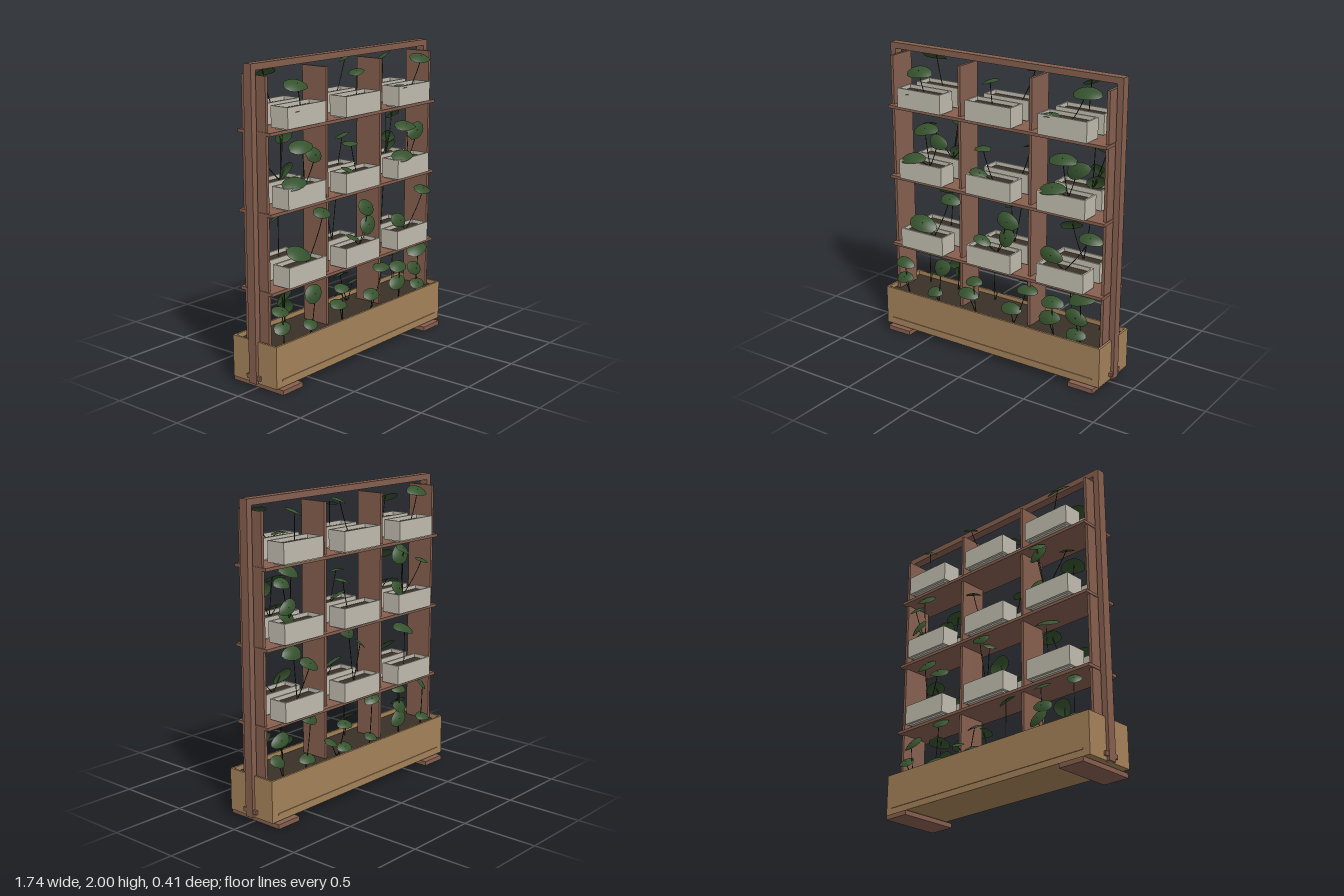
import * as THREE from 'three';

const mat = (color, side = THREE.FrontSide) => new THREE.MeshStandardMaterial({ color, side });
const wood = mat(0x87604f), tan = mat(0xa6835a), stone = mat(0xc2bdb0), soil = mat(0x3a3027);
const leafMat = mat(0x35522d, THREE.DoubleSide), stemMat = mat(0x272a1c);

// Box given by its min and max along each axis
function box(parent, name, m, x0, x1, y0, y1, z0, z1) {
  const mesh = new THREE.Mesh(new THREE.BoxGeometry(x1 - x0, y1 - y0, z1 - z0), m);
  mesh.position.set((x0 + x1) / 2, (y0 + y1) / 2, (z0 + z1) / 2);
  mesh.name = name;
  parent.add(mesh);
}

// Open trough: floor, four walls and a bed of soil
function trough(parent, name, m, x0, x1, y0, y1, z0, z1, t, soilDrop) {
  const g = new THREE.Group();
  g.name = name;
  box(g, 'floor', m, x0 + t, x1 - t, y0, y0 + t, z0 + t, z1 - t);
  box(g, 'frontWall', m, x0, x1, y0, y1, z1 - t, z1);
  box(g, 'backWall', m, x0, x1, y0, y1, z0, z0 + t);
  box(g, 'rightWall', m, x0, x0 + t, y0, y1, z0 + t, z1 - t);
  box(g, 'leftWall', m, x1 - t, x1, y0, y1, z0 + t, z1 - t);
  box(g, 'soil', soil, x0 + t, x1 - t, y0 + t, y1 - soilDrop, z0 + t, z1 - t);
  parent.add(g);
}

// Oval leaf, bent downward along its length and cupped across
function leafGeometry(length, width) {
  const geo = new THREE.PlaneGeometry(2, 2, 12, 6), p = geo.attributes.position;
  for (let i = 0; i < p.count; i++) {
    const u = p.getX(i), v = p.getY(i);
    const w = v * Math.pow(Math.max(0, 1 - u * u), 0.5) * (1 - 0.15 * u);
    p.setXYZ(i, u * length / 2, w * width / 2, -0.12 * length * u * u - 0.12 * width * w * w);
  }
  geo.computeVertexNormals();
  return geo;
}

// Plant: each leaf is [x, y, length, visible height, roll] on its own thin stem
function plant(parent, baseX, baseY, leaves) {
  const g = new THREE.Group();
  g.name = 'plant';
  leaves.forEach(([x, y, length, h, roll = 0], i) => {
    const width = Math.max(0.085, length * 0.55, h * 1.05), z = 0.132 + 0.012 * (i % 3 - 1);
    const leaf = new THREE.Mesh(leafGeometry(length, width), leafMat);
    leaf.name = 'leaf';
    leaf.rotation.order = 'ZXY';
    leaf.rotation.set(Math.asin(Math.min(1, h / width)) - Math.PI / 2, 0, roll);
    leaf.position.set(x, y, z);
    g.add(leaf);
    const curve = new THREE.QuadraticBezierCurve3(
      new THREE.Vector3(baseX, baseY, 0.11),
      new THREE.Vector3(baseX + (x - baseX) * 0.65, (baseY + y) / 2, 0.12),
      new THREE.Vector3(x, y, z));
    const stem = new THREE.Mesh(new THREE.TubeGeometry(curve, 8, 0.0028, 5), stemMat);
    stem.name = 'stem';
    g.add(stem);
  });
  parent.add(g);
}

export function createModel() {
  const model = new THREE.Group();

  // Outer frame, feet and lower brackets
  box(model, 'topBeam', wood, -0.87, 0.87, 1.96, 2, -0.03, 0.03);
  for (const s of [-1, 1]) {
    const span = (name, m, a, b, ...rest) => box(model, name, m, Math.min(s * a, s * b), Math.max(s * a, s * b), ...rest);
    span('post', wood, 0.83, 0.87, 0.04, 1.96, -0.03, 0.03);
    span('foot', wood, 0.64, 0.82, 0, 0.03, -0.205, 0.205);
    span('footSpacer', wood, 0.66, 0.8, 0.03, 0.04, -0.15, 0.15);
    span('bracket', wood, 0.845, 0.866, 0.065, 0.092, -0.055, 0.055);
  }

  // Ground trough with a thin rail along each long face
  trough(model, 'baseTrough', tan, -0.85, 0.85, 0.04, 0.31, -0.18, 0.18, 0.014, 0.03);
  for (const s of [-1, 1])
    box(model, 'troughRail', tan, -0.8, 0.8, 0.08, 0.09, s * 0.182 - 0.003, s * 0.182 + 0.003);

  // Upright dividers and shelves
  for (const x of [-0.81, -0.27, 0.27, 0.81])
    box(model, 'divider', wood, x - 0.01, x + 0.01, 0.25, 1.93, -0.095, 0.095);
  const potBases = [0.64, 1.126, 1.612];
  for (const y of potBases) {
    box(model, 'shelf', wood, -0.825, 0.825, y - 0.03, y - 0.01, -0.13, 0.13);
    // Back-to-back planters
    for (const x of [-0.54, 0, 0.54]) for (const z of [-0.102, 0.102]) {
      trough(model, 'planter', stone, x - 0.172, x + 0.172, y, y + 0.13, z - 0.067, z + 0.067, 0.012, 0.025);
      box(model, 'planterBase', stone, x - 0.15, x + 0.15, y - 0.01, y, z - 0.05, z + 0.04);
    }
  }

  const front = new THREE.Group(), back = new THREE.Group();
  front.name = 'frontPlants';
  back.name = 'backPlants';
  back.scale.z = -1;
  model.add(front, back);

  // Top tier
  plant(front, -0.53, 1.71, [[-0.57, 1.865, 0.2, 0.06], [-0.62, 1.725, 0.12, 0.015]]);
  plant(back, -0.55, 1.71, [[-0.61, 1.925, 0.19, 0.06]]);
  plant(front, 0, 1.71, [[-0.01, 1.885, 0.12, 0.015, 0.25]]);
  plant(back, 0.07, 1.71, [[0.17, 1.94, 0.12, 0.025, 0.3]]);
  plant(front, 0.57, 1.71, [[0.68, 1.91, 0.2, 0.055], [0.44, 1.745, 0.12, 0.01]]);
  plant(back, 0.56, 1.71, [[0.57, 1.915, 0.12, 0.03, 0.35]]);

  // Middle tier
  plant(front, -0.5, 1.23, [[-0.53, 1.49, 0.2, 0.06, 0.1], [-0.42, 1.415, 0.15, 0.09, -0.2], [-0.62, 1.285, 0.2, 0.05, 0.1]]);
  plant(back, -0.48, 1.23, [[-0.67, 1.45, 0.1, 0.03, 0.2], [-0.43, 1.515, 0.15, 0.12, -0.4], [-0.44, 1.56, 0.13, 0.06, 0.3], [-0.43, 1.29, 0.14, 0.09, 0.4]]);
  plant(front, 0, 1.23, [[-0.07, 1.44, 0.12, 0.015], [-0.09, 1.27, 0.14, 0.03, -0.35]]);
  plant(back, 0.08, 1.23, [[0.14, 1.435, 0.12, 0.02, 0.25]]);
  plant(front, 0.56, 1.23, [[0.52, 1.475, 0.2, 0.05], [0.63, 1.42, 0.18, 0.1, 0.3], [0.46, 1.285, 0.2, 0.05, 0.1]]);
  plant(back, 0.6, 1.23, [[0.61, 1.56, 0.17, 0.07, 0.2], [0.69, 1.5, 0.13, 0.06], [0.65, 1.345, 0.15, 0.08, -0.4], [0.63, 1.28, 0.15, 0.08, 0.4]]);

  // Lower tier
  plant(front, -0.48, 0.74, [[-0.335, 1.04, 0.16, 0.055, -0.1], [-0.56, 0.83, 0.22, 0.08, -0.2]]);
  plant(back, -0.5, 0.74, [[-0.49, 1.015, 0.2, 0.06, 0.2]]);
  plant(front, 0.03, 0.74, [[0.115, 0.98, 0.17, 0.1, -0.3], [0.11, 0.87, 0.14, 0.11, 0.5], [-0.06, 0.825, 0.13, 0.03, -0.35]]);
  plant(back, 0.02, 0.74, [[0.08, 1.085, 0.14, 0.08, 0.2], [-0.02, 1.0, 0.1, 0.03, 0.6]]);
  plant(front, 0.54, 0.74, [[0.73, 1.0, 0.17, 0.05, -0.1], [0.45, 0.83, 0.17, 0.09, -0.2]]);
  plant(back, 0.55, 0.74, [[0.59, 1.05, 0.17, 0.08], [0.45, 0.96, 0.17, 0.07, 0.3]]);

  // Ground trough
  plant(front, -0.7, 0.27, [[-0.73, 0.5, 0.15, 0.05, -0.15], [-0.73, 0.395, 0.14, 0.06, 0.1]]);
  plant(back, -0.69, 0.27, [[-0.7, 0.575, 0.1, 0.06, 0.6], [-0.69, 0.345, 0.12, 0.04]]);
  plant(front, -0.45, 0.27, [[-0.42, 0.53, 0.15, 0.11, 0.3], [-0.47, 0.35, 0.12, 0.05]]);
  plant(back, -0.45, 0.27, [[-0.44, 0.6, 0.13, 0.05], [-0.45, 0.465, 0.15, 0.08, 0.3], [-0.42, 0.39, 0.15, 0.1, -0.4]]);
  plant(front, -0.14, 0.27, [[-0.15, 0.505, 0.13, 0.04], [-0.19, 0.41, 0.16, 0.05, -0.1]]);
  plant(back, -0.14, 0.27, [[-0.155, 0.59, 0.13, 0.04, -0.3], [-0.13, 0.34, 0.1, 0.04]]);
  plant(front, 0.16, 0.27, [[0.27, 0.55, 0.16, 0.04], [0.15, 0.39, 0.16, 0.06]]);
  plant(back, 0.18, 0.27, [[0.115, 0.485, 0.13, 0.04], [0.26, 0.4, 0.1, 0.04, 0.2], [0.14, 0.34, 0.13, 0.05]]);
  plant(front, 0.47, 0.27, [[0.46, 0.51, 0.17, 0.06], [0.44, 0.4, 0.17, 0.08, 0.15]]);
  plant(back, 0.48, 0.27, [[0.44, 0.6, 0.14, 0.07, 0.2], [0.48, 0.35, 0.14, 0.05]]);
  plant(front, 0.67, 0.27, [[0.67, 0.59, 0.2, 0.06, 0.2], [0.64, 0.45, 0.17, 0.09, -0.3], [0.65, 0.345, 0.15, 0.06]]);
  plant(back, 0.68, 0.27, [[0.7, 0.52, 0.16, 0.08, -0.2], [0.74, 0.4, 0.13, 0.07, 0.2]]);

  return model;
}
